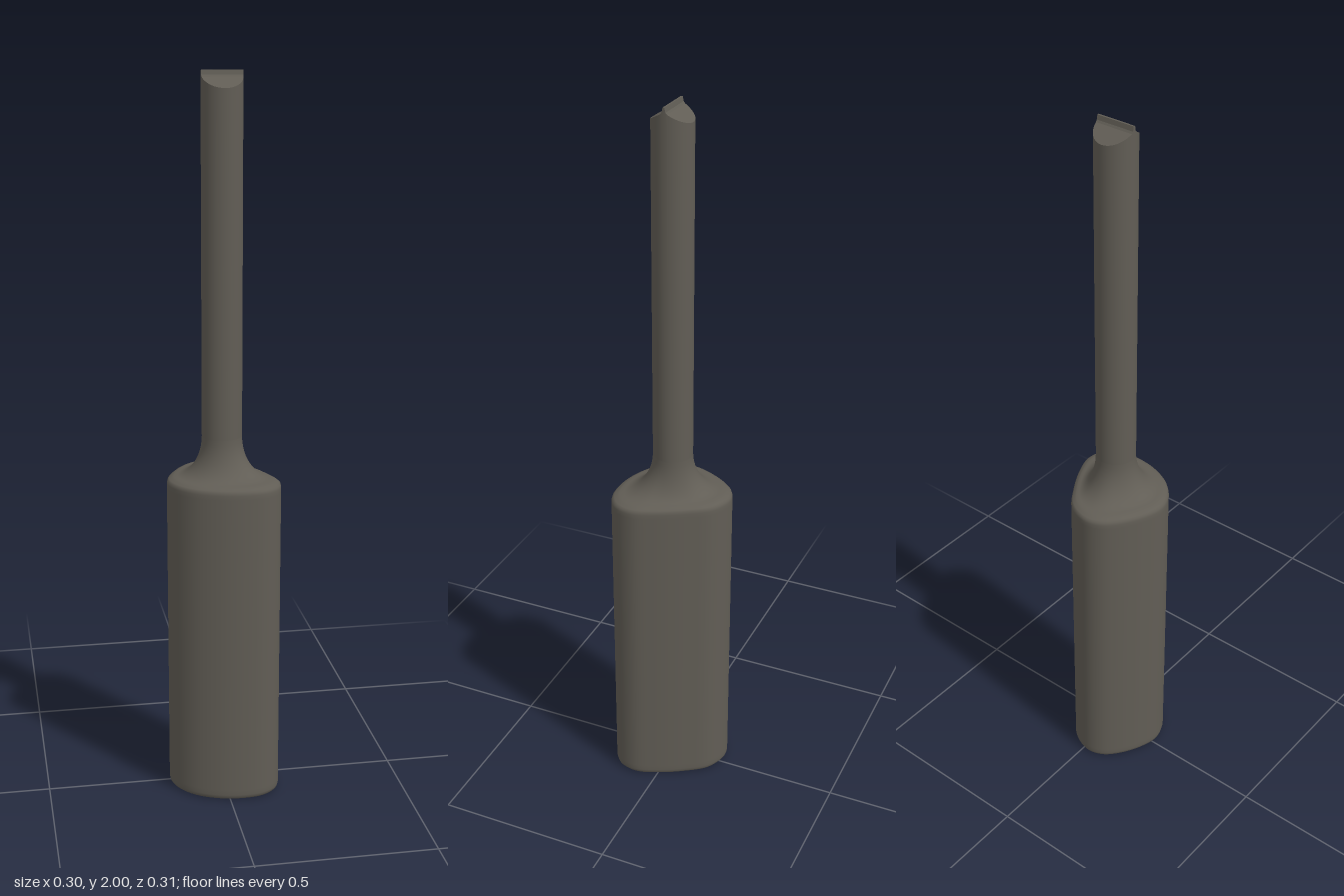
import * as THREE from 'three';

const SHAFT_R = 0.055, SHAFT_Z = 0.005, SHOULDER = 1.03;

// Smooth skin through closed rings listed bottom to top, each counterclockwise from above
function loft(rings) {
  const n = rings[0].length, index = [];
  for (let r = 0; r < rings.length - 1; r++) {
    for (let i = 0; i < n; i++) {
      const a = r * n + i, b = r * n + (i + 1) % n;
      index.push(a, b, b + n, a, b + n, a + n);
    }
  }
  const g = new THREE.BufferGeometry();
  g.setAttribute('position', new THREE.Float32BufferAttribute(rings.flat().flatMap(p => p.toArray()), 3));
  g.setIndex(index);
  g.computeVertexNormals();
  return g;
}

// Separate flat triangles
function facets(points) {
  const g = new THREE.BufferGeometry().setFromPoints(points);
  g.computeVertexNormals();
  return g;
}

export function createModel() {
  const model = new THREE.Group();
  const metal = new THREE.MeshStandardMaterial({ color: 0x615d55 });
  metal.name = 'dark metal';
  const add = (name, geometry) => {
    const mesh = new THREE.Mesh(geometry, metal);
    mesh.name = name;
    model.add(mesh);
  };

  // Rounded, lopsided triangular outline of the grip (x, z)
  const outline = new THREE.CatmullRomCurve3([
    [-0.02, -0.157], [0.043, -0.133], [0.091, -0.071], [0.132, 0.005], [0.151, 0.066],
    [0.138, 0.116], [0.1, 0.146], [0.046, 0.155], [-0.025, 0.146], [-0.096, 0.112],
    [-0.139, 0.062], [-0.153, 0.012], [-0.139, -0.045], [-0.1, -0.112], [-0.064, -0.146],
  ].reverse().map(([x, z]) => new THREE.Vector3(x, 0, z)), true, 'centripetal');
  const loop = outline.getSpacedPoints(96).slice(0, 96);
  const axis = new THREE.Vector3(0, 0, SHAFT_Z);

  // Outline blended towards the round shaft: k = 0 full grip, k = 1 shaft circle
  const ring = (y, k) => loop.map(p => {
    const circle = p.clone().sub(axis).setLength(SHAFT_R).add(axis);
    return p.clone().lerp(circle, k).setY(y);
  });

  // Grip with softened lower and upper edges
  const foot = ring(0, 0.12);
  add('grip', loft([foot, ring(0.002, 0.06), ring(0.007, 0.02), ring(0.015, 0),
    ring(0.03, 0), ring(0.89, 0), ring(0.902, 0), ring(0.91, 0.02),
    ring(0.914, 0.07), ring(0.917, 0.14),
    // concave neck flaring down from the shaft
    ...Array.from({ length: 13 }, (_, i) => {
      const a = i / 12 * Math.PI / 2;
      return ring(SHOULDER - 0.11 * Math.cos(a), 0.2 + 0.8 * Math.sin(a));
    })]));

  // Underside
  const centre = axis.clone();
  add('gripBase', facets(foot.flatMap((p, i) => [centre, foot[(i + 1) % foot.length], p])));

  // Chisel tip height by distance from the ridge
  const tipHeight = d => {
    const profile = [[0, 2], [0.0025, 2], [0.005, 1.988], [0.009, 1.983], [SHAFT_R, 1.957]];
    const i = Math.max(1, profile.findIndex(([x]) => x >= d - 1e-6));
    const [x0, y0] = profile[i - 1], [x1, y1] = profile[i];
    return THREE.MathUtils.lerp(y0, y1, Math.min(1, (d - x0) / (x1 - x0)));
  };

  // Shaft angles, with extra ones at the breaks of the tip profile
  const half = Array.from({ length: 25 }, (_, i) => i / 24 * Math.PI);
  for (const d of [0.0025, 0.005, 0.009]) half.push(Math.acos(d / SHAFT_R), Math.acos(-d / SHAFT_R));
  half.sort((a, b) => a - b);
  const angles = [...half, ...half.slice(1, -1).reverse().map(a => 2 * Math.PI - a)];
  const shaftRing = height => angles.map(a => {
    const z = SHAFT_R * Math.cos(a);
    return new THREE.Vector3(SHAFT_R * Math.sin(a), height(Math.abs(z)), z + SHAFT_Z);
  });
  const rim = shaftRing(tipHeight);
  add('shaft', loft([shaftRing(() => SHOULDER - 0.005), shaftRing(() => 1.94), rim]));

  // Sloped faces and narrow ridge of the tip
  const tip = [];
  for (let i = 0; i < half.length - 1; i++) {
    const a = rim[i], b = rim[i + 1];
    const am = a.clone().setX(-a.x), bm = b.clone().setX(-b.x);
    tip.push(am, a, b, am, b, bm);
  }
  add('chiselTip', facets(tip));

  return model;
}
